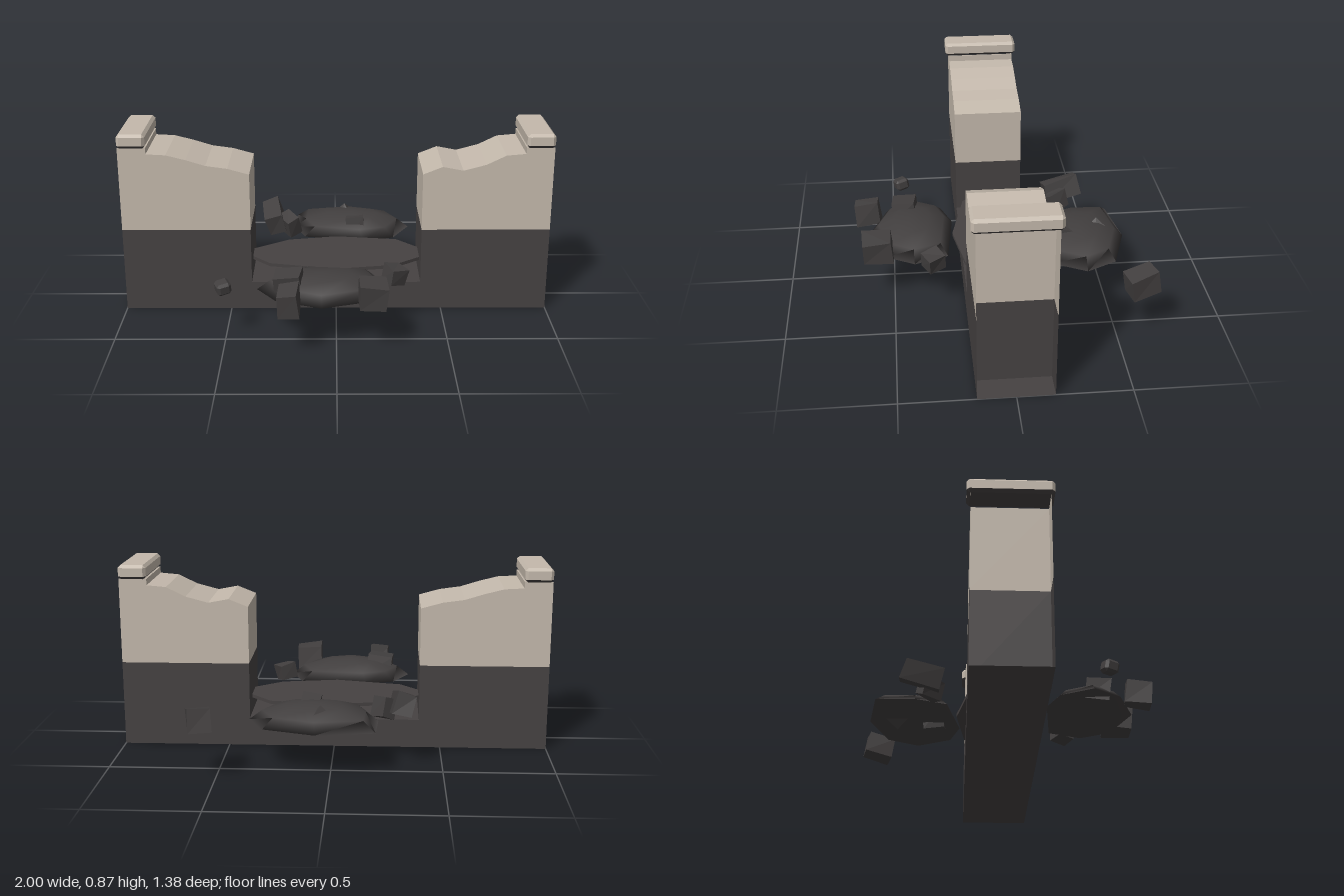
import * as THREE from 'three';
import { mergeVertices } from 'three/addons/utils/BufferGeometryUtils.js';
import { ConvexGeometry } from 'three/addons/geometries/ConvexGeometry.js';

const plaster = new THREE.MeshStandardMaterial({ name: 'plaster', color: 0xc4b9ac });
const plasterInside = new THREE.MeshStandardMaterial({ name: 'plasterInside', color: 0xc4b9ac, side: THREE.DoubleSide });
const darkStone = new THREE.MeshStandardMaterial({ name: 'darkStone', color: 0x464242 });
const darkInside = new THREE.MeshStandardMaterial({ name: 'darkInside', color: 0x464242, side: THREE.DoubleSide });
const rubble = new THREE.MeshStandardMaterial({ name: 'rubble', color: 0x423f3f });

const HALF = 0.167; // half of the wall thickness
const INNER = 0.875; // where the open end recesses begin

const outline = pts => new THREE.Shape(pts.map(p => new THREE.Vector2(...p)));

function add(parent, name, geometry, material) {
  const mesh = new THREE.Mesh(geometry, material);
  mesh.name = name;
  parent.add(mesh);
  return mesh;
}

// Upright slab with a profile in x and y
function slab(pts) {
  return new THREE.ExtrudeGeometry(outline(pts), { depth: 2 * HALF, bevelEnabled: false }).translate(0, 0, -HALF);
}

// Box with all edges cut at 45 degrees
function chamferedBox(w, h, d, c) {
  const pts = [];
  for (const x of [-1, 1]) for (const y of [-1, 1]) for (const z of [-1, 1]) {
    const [a, b, e] = [x * w / 2, y * h / 2, z * d / 2];
    pts.push(new THREE.Vector3(a, b - y * c, e - z * c),
      new THREE.Vector3(a - x * c, b, e - z * c),
      new THREE.Vector3(a - x * c, b - y * c, e));
  }
  return new ConvexGeometry(pts);
}

// Gives the downward faces the second material
function splitUnderside(geometry) {
  const n = geometry.attributes.normal;
  for (let i = 0; i < n.count; i += 3) geometry.addGroup(i, 3, n.getY(i) < -0.3 ? 1 : 0);
  return geometry;
}

// Low heap over a ground outline, closed with a flat underside
function heap(pts, cx, cz, base) {
  const rings = [[0, 0], [1, 0], [0.8, 0.045], [0.45, 0.075], [0, 0.087]];
  const n = pts.length, pos = [], index = [];
  for (const [s, h] of rings) for (const [x, z] of pts) pos.push(cx + (x - cx) * s, base + h, cz + (z - cz) * s);
  for (let r = 0; r < rings.length - 1; r++) for (let i = 0; i < n; i++) {
    const a = r * n + i, b = r * n + (i + 1) % n;
    if (r > 0) index.push(a, a + n, b);
    if (r < rings.length - 2) index.push(b, a + n, b + n);
  }
  let g = new THREE.BufferGeometry();
  g.setAttribute('position', new THREE.Float32BufferAttribute(pos, 3));
  g.setIndex(index);
  g = mergeVertices(g);
  g.computeVertexNormals();
  return g;
}

// Rough block with corners pushed about by a fixed rule
function rock(w, h, d, seed) {
  const g = new THREE.BoxGeometry(w, h, d).toNonIndexed();
  const p = g.attributes.position;
  for (let i = 0; i < p.count; i++) {
    const k = (p.getX(i) > 0 ? 1 : 0) + (p.getY(i) > 0 ? 2 : 0) + (p.getZ(i) > 0 ? 4 : 0) + seed * 8;
    p.setXYZ(i, p.getX(i) * (1 + 0.08 * Math.sin(k * 5.1)), p.getY(i) * (1 + 0.08 * Math.sin(k * 3.7)),
      p.getZ(i) * (1 + 0.08 * Math.sin(k * 7.3)));
  }
  g.computeVertexNormals();
  return g;
}

export function createModel() {
  const model = new THREE.Group();
  model.name = 'brokenWall';

  // Dark lower wall, with a low sill across the breach
  add(model, 'lowerWall', slab([[-INNER, 0], [INNER, 0], [INNER, 0.4], [0.4, 0.4], [0.4, 0.135],
    [-0.4, 0.135], [-0.4, 0.4], [-INNER, 0.4]]), darkStone);

  // Plastered upper walls with crumbling tops
  const tops = {
    left: [[0.87, 0.8], [0.87, 0.77], [0.78, 0.762], [0.69, 0.718], [0.585, 0.69], [0.49, 0.708], [0.4, 0.672]],
    right: [[-0.4, 0.672], [-0.5, 0.7], [-0.6, 0.714], [-0.69, 0.742], [-0.78, 0.765], [-0.87, 0.77], [-0.87, 0.8]],
  };
  add(model, 'leftUpperWall', slab([[0.4, 0.4], [INNER, 0.4], [INNER, 0.8], ...tops.left]), plaster);
  add(model, 'rightUpperWall', slab([[-INNER, 0.8], [-INNER, 0.4], [-0.4, 0.4], ...tops.right]), plaster);

  // Open ends: thin side skins, floor and cap stone
  for (const [side, sx] of [['left', 1], ['right', -1]]) {
    const end = new THREE.Group();
    end.name = side + 'End';
    model.add(end);
    const width = 1 - INNER, cx = sx * (1 + INNER) / 2;
    for (const z of [-HALF, HALF]) {
      const turn = z < 0 ? Math.PI : 0;
      for (const [name, y, mat] of [['lowerSkin', 0.2, darkInside], ['upperSkin', 0.6, plasterInside]])
        add(end, name, new THREE.PlaneGeometry(width, 0.4).rotateY(turn).translate(cx, y, z), mat);
    }
    add(end, 'endFloor', new THREE.PlaneGeometry(width, 2 * HALF).rotateX(Math.PI / 2).translate(cx, 0, 0), darkInside);
    const cap = add(end, 'capStone', splitUnderside(chamferedBox(0.13, 0.066, 0.37, 0.013)), [plaster, darkStone]);
    cap.position.set(sx * 0.935, 0.832, 0);
  }

  // Thin debris sheet in the breach
  const sheet = outline([[-0.4, -0.05], [-0.235, -0.165], [0, -0.21], [0.3, -0.17], [0.4, -0.065],
    [0.4, 0.065], [0.27, 0.165], [0, 0.21], [-0.315, 0.14], [-0.4, 0.05]]);
  add(model, 'debrisSheet', new THREE.ExtrudeGeometry(sheet, { depth: 0.016, bevelEnabled: false })
    .rotateX(Math.PI / 2).translate(0, 0.221, 0), darkStone);

  // Debris heaps before and behind the breach
  add(model, 'frontHeap', heap([[-0.36, 0.4], [-0.28, 0.255], [-0.145, 0.205], [0.18, 0.24], [0.24, 0.4],
    [0.165, 0.535], [-0.065, 0.61], [-0.27, 0.53]], -0.06, 0.41, 0.202), rubble);
  add(model, 'backHeap', heap([[-0.2, -0.58], [0.065, -0.62], [0.3, -0.545], [0.375, -0.4], [0.29, -0.24],
    [0.135, -0.195], [-0.155, -0.255], [-0.21, -0.4]], 0.08, -0.4, 0.202), rubble);

  // Loose rocks: position, size, rotation
  const rocks = [
    [[0.16, 0.257, 0.57], [0.12, 0.11, 0.135], [0.04, 0.02, -0.07]],
    [[-0.208, 0.245, 0.62], [0.09, 0.11, 0.12], [0.15, -0.06, 0.1]],
    [[0.27, 0.238, 0.315], [0.08, 0.075, 0.085], [0.15, 0.5, -0.25]],
    [[-0.213, 0.25, 0.435], [0.125, 0.1, 0.11], [0.08, -0.08, 0.15]],
    [[-0.317, 0.275, -0.37], [0.085, 0.1, 0.18], [0.25, 0.12, 0.25]],
    [[-0.235, 0.245, -0.33], [0.07, 0.09, 0.1], [0.2, 0.6, 0.2]],
    [[0.103, 0.235, -0.32], [0.085, 0.105, 0.1], [-0.15, -0.08, 0.1]],
    [[0.05, 0.23, -0.49], [0.08, 0.08, 0.08], [0.6, 0.4, 0.6]],
    [[0.57, 0.262, -0.61], [0.1, 0.105, 0.135], [0.25, 0.2, -0.1]],
  ];
  rocks.forEach(([at, size, turn], i) => {
    const mesh = add(model, 'rock' + (i + 1), rock(...size, i + 1), rubble);
    mesh.position.set(...at);
    mesh.rotation.set(...turn);
  });
  const pebble = add(model, 'pebble', chamferedBox(0.065, 0.058, 0.068, 0.012), rubble);
  pebble.position.set(-0.51, 0.235, 0.45);
  pebble.rotation.set(0.15, 0.4, 0.1);

  return model;
}
